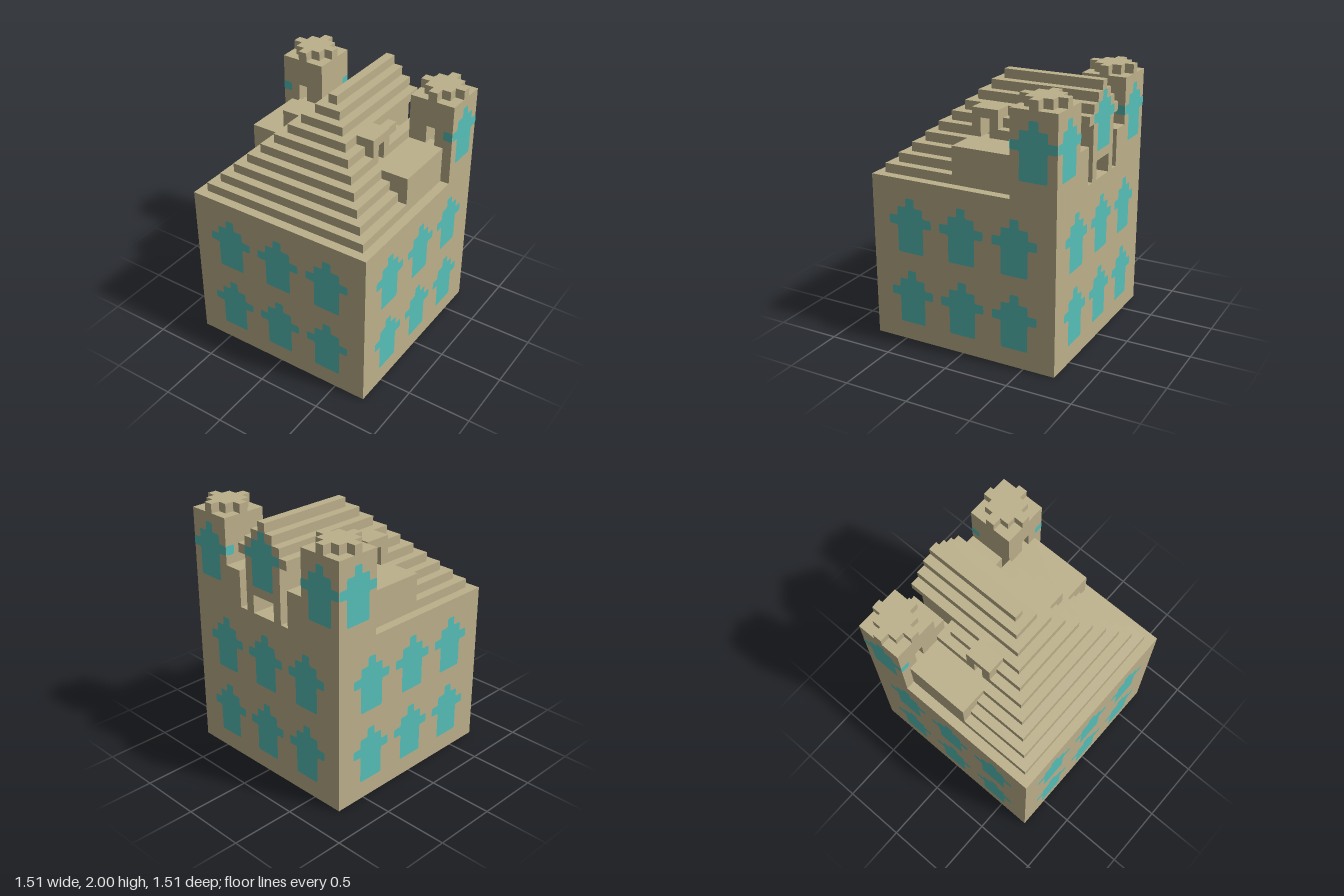
import * as THREE from 'three';

const sand = new THREE.MeshStandardMaterial({ color: 0xbdb18b });
sand.name = 'sandstone';
const teal = new THREE.MeshStandardMaterial({ color: 0x56bfb9, side: THREE.DoubleSide });
teal.name = 'teal glass';

// All sizes below are in blocks; the finished model is scaled by 1/14.
const H = 10.5;

function addBox(parent, name, x0, x1, y0, y1, z0, z1) {
  const mesh = new THREE.Mesh(new THREE.BoxGeometry(x1 - x0, y1 - y0, z1 - z0), sand);
  mesh.name = name;
  mesh.position.set((x0 + x1) / 2, (y0 + y1) / 2, (z0 + z1) / 2);
  parent.add(mesh);
}

// The same box on both sides of x = 0
function addPair(parent, name, x0, x1, y0, y1, z0, z1) {
  addBox(parent, name + 'Left', x0, x1, y0, y1, z0, z1);
  addBox(parent, name + 'Right', -x1, -x0, y0, y1, z0, z1);
}

// Flat outline with slightly rounded corners
function softShape(points, r) {
  const pts = points.map(([x, y]) => new THREE.Vector2(x, y));
  const shape = new THREE.Shape();
  pts.forEach((p, i) => {
    const a = pts[(i + pts.length - 1) % pts.length];
    const b = pts[(i + 1) % pts.length];
    const start = p.clone().add(a.clone().sub(p).setLength(r));
    const end = p.clone().add(b.clone().sub(p).setLength(r));
    if (i === 0) shape.moveTo(start.x, start.y);
    else shape.lineTo(start.x, start.y);
    shape.quadraticCurveTo(p.x, p.y, end.x, end.y);
  });
  shape.closePath();
  return new THREE.ShapeGeometry(shape, 3);
}

const half = [[1.5, 0], [1.5, 3], [2.5, 3], [2.5, 4], [1.5, 4], [1.5, 5], [0.5, 5], [0.5, 6]];
const windowGeometry = softShape([...half, ...half.map(([x, y]) => [-x, y]).reverse()], 0.2);
const armEndGeometry = softShape([[-0.5, 0], [0.5, 0], [0.5, 1], [-0.5, 1]], 0.15);

function addPane(parent, name, geometry, x, y, z, turn) {
  const mesh = new THREE.Mesh(geometry, teal);
  mesh.name = name;
  mesh.position.set(x, y, z);
  mesh.rotation.y = turn;
  parent.add(mesh);
}

function buildTower(s) {
  const tower = new THREE.Group();
  tower.name = s > 0 ? 'leftTower' : 'rightTower';
  const wall = (name, a, b, y0, y1, z0, z1) =>
    addBox(tower, name, Math.min(s * a, s * b), Math.max(s * a, s * b), y0, y1, z0, z1);
  wall('backWall', 5.5, H, 18, 27, -H, -9.5);
  wall('innerWall', 5.5, 6.5, 18, 27, -9.5, -6.5);
  wall('outerWall', 9.5, H, 18, 27, -9.5, -6.5);
  wall('towerRoof', 6.5, 9.5, 26, 27, -9.5, -6.5);
  // Front wall around the slit
  wall('frontWallInner', 5.5, 7.5, 18, 27, -6.5, -5.5);
  wall('frontWallOuter', 8.5, H, 18, 27, -6.5, -5.5);
  wall('slitSill', 7.5, 8.5, 18, 22, -6.5, -5.5);
  wall('slitLintel', 7.5, 8.5, 24, 27, -6.5, -5.5);
  // Stepped diamond crown
  const steps = [[0.5, 2.5], [1.5, 1.5], [2.5, 0.5]];
  const outline = [];
  for (const [sx, sy] of [[1, 1], [-1, 1], [-1, -1], [1, -1]]) {
    const quarter = [[2.5, 0.5], [1.5, 0.5], [1.5, 1.5], [0.5, 1.5], [0.5, 2.5]]
      .map(([x, y]) => new THREE.Vector2(sx * x, sy * y));
    outline.push(...(sx * sy > 0 ? quarter : quarter.reverse()));
  }
  const crown = new THREE.Mesh(
    new THREE.ExtrudeGeometry(new THREE.Shape(outline), { depth: 1, bevelEnabled: false }), sand);
  crown.name = 'crown';
  crown.rotation.x = -Math.PI / 2;
  crown.position.set(s * 8, 27, -8);
  tower.add(crown);
  // Panes, their arm ends round the corners, and the pane seen through the slit
  addPane(tower, 'backPane', windowGeometry, s * 8, 20, -H - 0.04, Math.PI);
  addPane(tower, 'innerPane', windowGeometry, s * 8, 20, -9.46, 0);
  addPane(tower, 'sidePane', windowGeometry, s * (H + 0.04), 20, -8, s * Math.PI / 2);
  addPane(tower, 'frontArmEnd', armEndGeometry, s * 10, 23, -5.46, 0);
  addPane(tower, 'innerArmEnd', armEndGeometry, s * 5.46, 23, -10, -s * Math.PI / 2);
  return tower;
}

function buildRoof() {
  const roof = new THREE.Group();
  roof.name = 'steppedRoof';
  for (let k = 0; k < 10; k++) {
    const h = 9.5 - k, y = 18 + k;
    if (k >= 6) {
      // Upper steps run through to the back gable
      addBox(roof, 'ridgeStep', -h, h, y, y + 1, -H, h);
      continue;
    }
    // Lower steps are hollow rings
    const back = k === 5 ? -4.5 : -5.5;
    addBox(roof, 'frontStep', -h, h, y, y + 1, h - 2, h);
    addBox(roof, 'rearStep', -Math.min(h, 5.5), Math.min(h, 5.5), y, y + 1, back, back + 1);
    if (k < 4) {
      addPair(roof, 'sideStep', h - 2, h, y, y + 1, 1.5, h - 2);
      addPair(roof, 'innerStep', 4.5, 5.5, y, y + 1, back + 1, 1.5);
    } else {
      addPair(roof, 'sideStepFront', h - 2, h, y, y + 1, 1.5, h - 2);
      addPair(roof, 'sideStepRear', h - 2, h, y, y + 1, back + 1, -1.5);
    }
  }
  // Side blocks and the open dormers above them
  addPair(roof, 'sideBlock', 5.5, 9.5, 18, 22, -5.5, 1.5);
  addPair(roof, 'dormerJambFront', 2.5, 5.5, 22, 24, 0.5, 1.5);
  addPair(roof, 'dormerJambRear', 2.5, 5.5, 22, 24, -1.5, -0.5);
  addBox(roof, 'dormerLintel', -5.5, 5.5, 24, 25, -1.5, 1.5);
  return roof;
}

function buildGable() {
  const gable = new THREE.Group();
  gable.name = 'backGable';
  addBox(gable, 'gableWall', -2.5, 2.5, 20, 24, -H, -9.5);
  addPair(gable, 'gablePier', 1.5, 2.5, 18, 20, -H, -9.5);
  addPair(gable, 'gableSide', 1.5, 2.5, 18, 24, -9.5, -5.5);
  addPair(gable, 'rearBlock', 3.5, 5.5, 18, 22, -H, -6.5);
  addPane(gable, 'gablePane', windowGeometry, 0, 21, -H - 0.04, Math.PI);
  return gable;
}

export function createModel() {
  const model = new THREE.Group();
  model.name = 'castle';
  addBox(model, 'mainBody', -H, H, 0, 18, -H, H);

  // Two rows of three windows on each face
  const windows = new THREE.Group();
  windows.name = 'bodyWindows';
  for (let f = 0; f < 4; f++) {
    const face = new THREE.Group();
    face.name = ['front', 'left', 'back', 'right'][f] + 'Windows';
    face.rotation.y = f * Math.PI / 2;
    for (const y of [2, 10])
      for (const x of [-6, 0, 6]) addPane(face, 'window', windowGeometry, x, y, H + 0.04, 0);
    windows.add(face);
  }
  model.add(windows);

  model.add(buildRoof(), buildGable(), buildTower(1), buildTower(-1));

  // Cross under the base
  const q = [[5.5, -1.5], [5.5, 1.5], [1.5, 1.5], [1.5, 5.5], [-1.5, 5.5], [-1.5, 1.5],
    [-5.5, 1.5], [-5.5, -1.5], [-1.5, -1.5], [-1.5, -5.5], [1.5, -5.5], [1.5, -1.5]];
  const cross = new THREE.Mesh(softShape(q, 0.2), teal);
  cross.name = 'baseCross';
  cross.rotation.x = Math.PI / 2;
  cross.position.y = -0.03;
  model.add(cross);

  model.scale.setScalar(1 / 14);
  const root = new THREE.Group();
  root.name = 'castleModel';
  root.add(model);
  return root;
}
